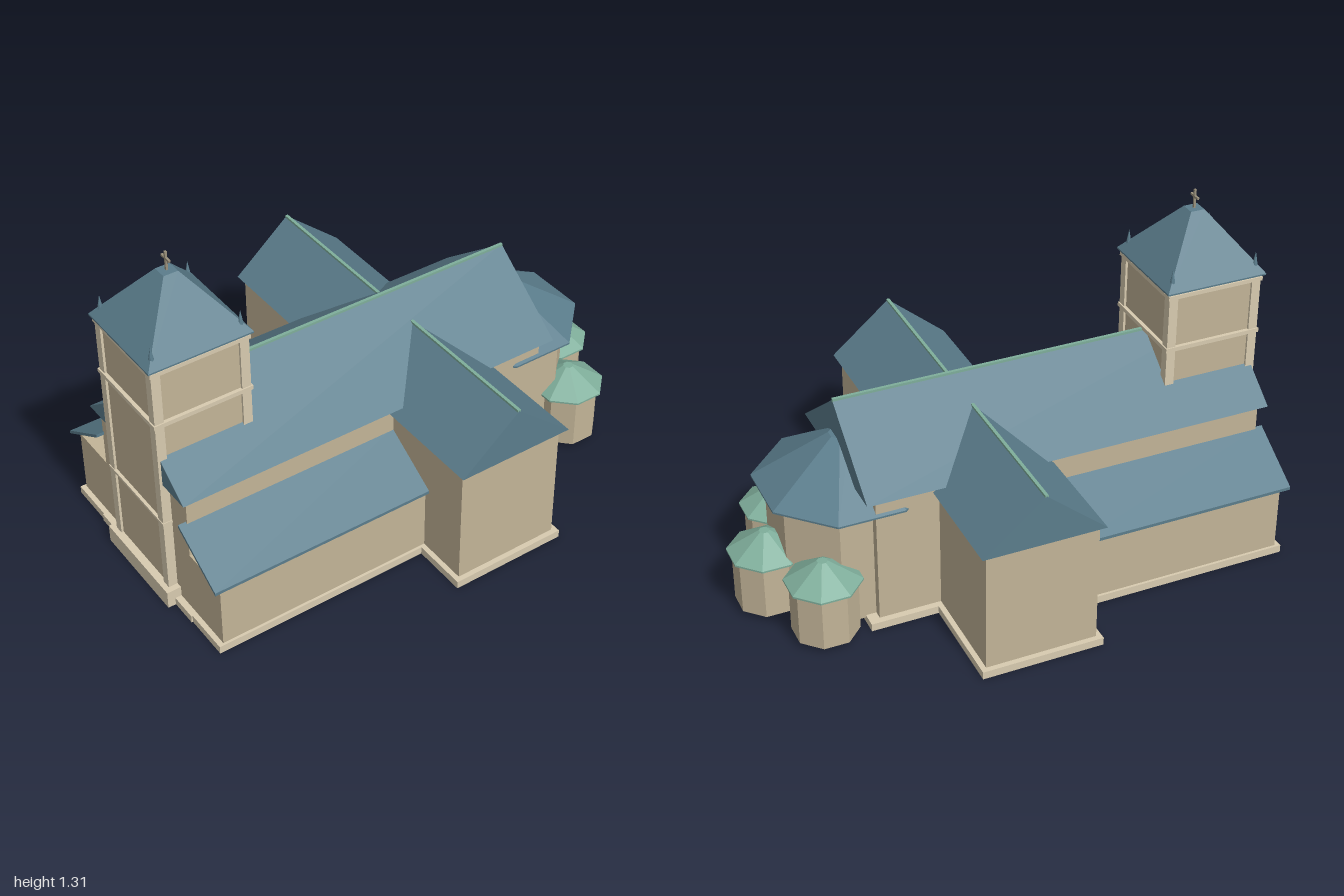
import * as THREE from 'three';

const mat = (color) => new THREE.MeshStandardMaterial({ color, flatShading: true });

export function createModel() {
  const group = new THREE.Group();
  const wall = mat(0xc2b497), trim = mat(0xd8cbb0), slate = mat(0x5b7d8c);
  const copper = mat(0x7fae9b), metal = mat(0x9a917c);

  const add = (name, geometry, material, x = 0, y = 0, z = 0) => {
    const mesh = new THREE.Mesh(geometry, material);
    mesh.name = name;
    mesh.position.set(x, y, z);
    group.add(mesh);
    return mesh;
  };
  // Box given by its limits on each axis
  const box = (name, material, [x0, x1], [y0, y1], [z0, z1]) =>
    add(name, new THREE.BoxGeometry(x1 - x0, y1 - y0, z1 - z0), material,
      (x0 + x1) / 2, (y0 + y1) / 2, (z0 + z1) / 2);
  // Outline in x/y drawn out along z
  const extrude = (points, z0, z1) => new THREE.ExtrudeGeometry(
    new THREE.Shape(points.map(([x, y]) => new THREE.Vector2(x, y))),
    { depth: z1 - z0, bevelEnabled: false }).translate(0, 0, z0);
  // Regular prism or frustum with flat faces towards the axes; sizes are centre-to-face
  const frustum = (name, material, sides, top, bottom, y0, y1, x, z) => {
    const k = 1 / Math.cos(Math.PI / sides);
    const g = new THREE.CylinderGeometry(top * k, bottom * k, y1 - y0, sides);
    return add(name, g.rotateY(Math.PI / sides), material, x, (y0 + y1) / 2, z);
  };

  // Nave
  box('navePlinth', trim, [-0.315, 0.315], [0, 0.03], [-0.595, 0.97]);
  box('naveWalls', wall, [-0.29, 0.29], [0.03, 0.545], [-0.555, 0.945]);
  add('naveRoof', extrude([[-0.32, 0.54], [0.32, 0.54], [0, 0.785]], -0.595, 0.97), slate);
  box('naveRidge', copper, [-0.006, 0.006], [0.776, 0.79], [-0.595, 0.61]);

  // Transept, its roof running along x
  box('transeptPlinth', trim, [-0.71, 0.71], [0, 0.03], [-0.34, 0.12]);
  box('transeptWalls', wall, [-0.69, 0.69], [0.03, 0.515], [-0.32, 0.1]);
  const crossRoof = extrude([[-0.23, 0.51], [0.23, 0.51], [0, 0.703]], -0.715, 0.715);
  add('transeptRoof', crossRoof.rotateY(Math.PI / 2), slate, 0, 0, -0.113);
  box('transeptRidge', copper, [-0.715, 0.715], [0.694, 0.707], [-0.119, -0.107]);

  // Side aisles with lean-to roofs
  for (const s of [-1, 1]) {
    const span = (a, b) => (s > 0 ? [a, b] : [-b, -a]);
    box('aislePlinth', trim, span(0.28, 0.495), [0, 0.03], [0, 0.965]);
    box('aisleWalls', wall, span(0.28, 0.485), [0.03, 0.285], [0, 0.945]);
    const slab = [[0.282, 0.422], [0.506, 0.287], [0.506, 0.299], [0.282, 0.435]];
    add('aisleRoof', extrude(slab.map(([x, y]) => [s * x, y]), 0.09, 0.975), slate);
  }

  // Tower
  const tz = 0.795, around = (h) => [[-h, h], [tz - h, tz + h]];
  const square = (name, material, h, y0, y1) => {
    const [x, z] = around(h);
    return box(name, material, x, [y0, y1], z);
  };
  box('towerPlinth', trim, [-0.208, 0.208], [0, 0.07], [0.59, 1]);
  square('towerBody', wall, 0.176, 0.03, 1.013);
  square('lowerBand', trim, 0.188, 0.36, 0.37);
  square('upperBand', trim, 0.19, 0.784, 0.8);
  square('towerCornice', trim, 0.19, 0.998, 1.013);
  square('towerEave', slate, 0.198, 1.022, 1.028);
  frustum('towerRoof', slate, 4, 0.027, 0.198, 1.028, 1.24, 0, tz);
  for (const sx of [-1, 1]) for (const sz of [-1, 1]) {
    const x = sx * 0.1675, z = tz + sz * 0.1675;
    box('cornerPilaster', trim, [x - 0.0175, x + 0.0175], [0.07, 1.024], [z - 0.0175, z + 0.0175]);
    add('pinnacle', new THREE.ConeGeometry(0.016, 0.085, 8), slate, sx * 0.167, 1.0665, tz + sz * 0.167);
  }
  box('crossPost', metal, [-0.004, 0.004], [1.235, 1.312], [tz - 0.004, tz + 0.004]);
  box('crossArm', metal, [-0.025, 0.025], [1.281, 1.289], [tz - 0.004, tz + 0.004]);

  // Octagonal apse and the three chapels around it
  const octagon = (name, roof, x, z, body, eave, top, y1, y2) => {
    frustum(name + 'Walls', wall, 8, body, body, 0.02, y1, x, z);
    frustum(name + 'Eave', roof, 8, eave, eave, y1 - 0.002, y1 + 0.005, x, z);
    frustum(name + 'Roof', roof, 8, top, eave, y1 + 0.005, y2, x, z);
  };
  octagon('apse', slate, 0, -0.57, 0.257, 0.3, 0.04, 0.467, 0.647);
  for (const [x, z] of [[-0.25, -0.743], [0, -0.87], [0.25, -0.743]])
    octagon('chapel', copper, x, z, 0.113, 0.13, 0.018, 0.23, 0.313);

  return group;
}
